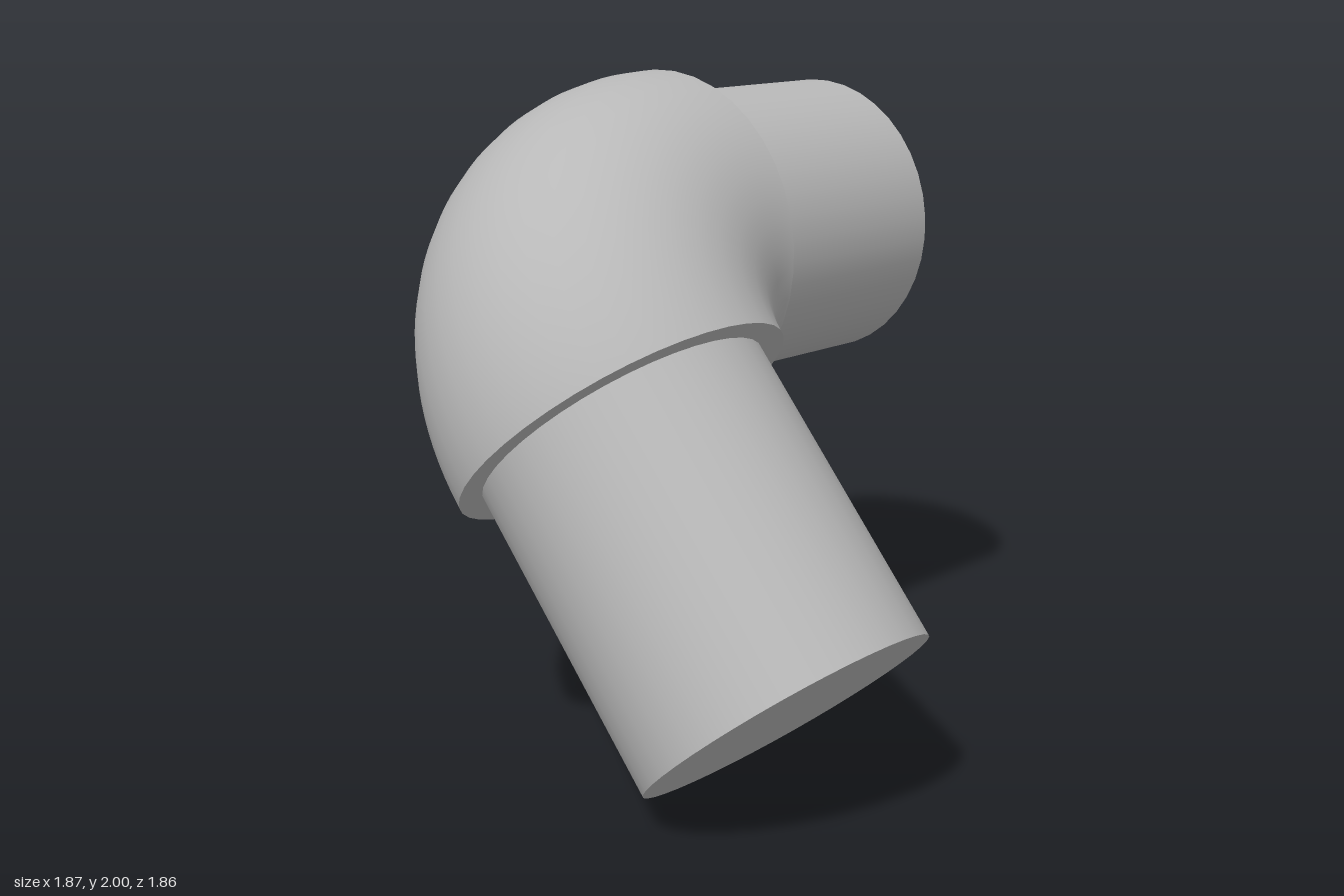
import * as THREE from 'three';

const BEND = 0.57;      // centre-line radius of the elbow
const SLEEVE = 0.53;    // outer radius of the elbow
const PIPE = 0.456;     // radius of the two pipes
const SIDES = 40;

export function createModel() {
  const grey = new THREE.MeshStandardMaterial({ color: 0xb8b8b8 });
  grey.name = 'plain grey';

  const model = new THREE.Group();
  model.name = 'pipeElbow';
  const add = (name, geometry, parent) => {
    const mesh = new THREE.Mesh(geometry, grey);
    mesh.name = name;
    parent.add(mesh);
    return mesh;
  };

  // Everything lies in one tilted plane, with the bend centre as its origin
  const joint = new THREE.Group();
  joint.name = 'joint';
  const u = new THREE.Vector3(0, 0.765, -0.644).normalize();
  const v = new THREE.Vector3(-1, 0, 0);
  joint.quaternion.setFromRotationMatrix(
    new THREE.Matrix4().makeBasis(u, v, new THREE.Vector3().crossVectors(u, v)));
  joint.position.set(0.165, 1.033, -0.033);
  model.add(joint);

  // Quarter-turn sleeve
  add('elbow', new THREE.TorusGeometry(BEND, SLEEVE, SIDES, 32, Math.PI / 2), joint);

  // One straight pipe and the sleeve's end rim, running along local -y
  const addLeg = (name, length) => {
    const leg = new THREE.Group();
    leg.name = name;
    const pipe = add(name + 'Pipe', new THREE.CylinderGeometry(PIPE, PIPE, length, SIDES), leg);
    pipe.position.y = -length / 2;
    const rim = add(name + 'Rim', new THREE.RingGeometry(PIPE, SLEEVE, SIDES), leg);
    rim.rotation.x = Math.PI / 2;
    joint.add(leg);
    return leg;
  };
  addLeg('sideLeg', 0.765).position.x = BEND;
  const lower = addLeg('lowerLeg', 0.963);
  lower.position.y = BEND;
  lower.rotation.z = -Math.PI / 2;

  return model;
}
